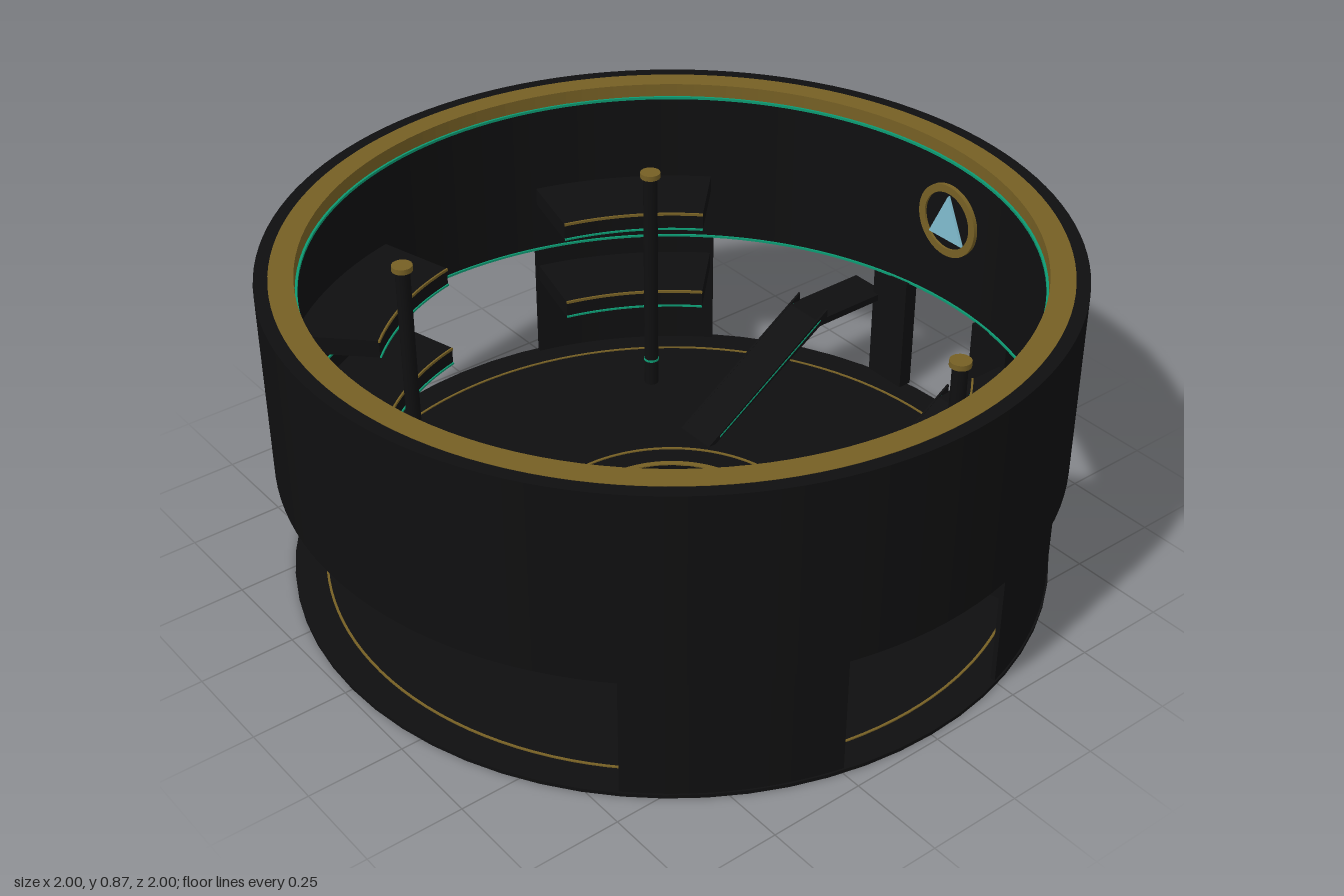
import * as THREE from 'three';

const mat = (name, color, side = THREE.FrontSide) => {
  const m = new THREE.MeshStandardMaterial({ color, side });
  m.name = name;
  return m;
};
const RAD = Math.PI / 180;

export function createModel() {
  const black = mat('black', 0x0f0f10);
  const gold = mat('gold', 0x755f24);
  const green = mat('green', 0x0c9a72);
  const blue = mat('light blue', 0x80bccf);

  const model = new THREE.Group();
  model.name = 'roundHall';

  const add = (name, geo, material, x = 0, y = 0, z = 0, parent = model) => {
    const m = new THREE.Mesh(geo, material);
    m.name = name;
    m.position.set(x, y, z);
    parent.add(m);
    return m;
  };
  const upright = (shape, y0, y1, seg) => new THREE.ExtrudeGeometry(shape,
    { depth: y1 - y0, bevelEnabled: false, curveSegments: seg }).rotateX(-Math.PI / 2).translate(0, y0, 0);

  // Full ring with a rectangular section
  const ring = (r0, r1, y0, y1) => {
    const s = new THREE.Shape().absarc(0, 0, r1, 0, Math.PI * 2);
    s.holes.push(new THREE.Path().absarc(0, 0, r0, 0, Math.PI * 2, true));
    return upright(s, y0, y1, 64);
  };
  // Part of a ring; degrees run from +x towards -z
  const sector = (r0, r1, y0, y1, a0, a1, seg = 10) => {
    const s = new THREE.Shape();
    s.absarc(0, 0, r1, a0 * RAD, a1 * RAD, false);
    s.absarc(0, 0, r0, a1 * RAD, a0 * RAD, true);
    s.closePath();
    return upright(s, y0, y1, seg);
  };
  const box = (w, h, d) => new THREE.BoxGeometry(w, h, d);
  const cyl = (r, h, seg = 16) => new THREE.CylinderGeometry(r, r, h, seg);

  // Floor with inlaid rings
  add('floor', cyl(0.98, 0.01, 64), black, 0, 0.005);
  add('floorOuterInlay', ring(0.895, 0.901, 0.009, 0.013), gold);
  add('floorInnerInlay', ring(0.376, 0.383, 0.009, 0.013), gold);

  // Upper drum with gold rim and light strips
  add('upperWall', ring(0.965, 1, 0.355, 0.865), black);
  add('rim', ring(0.905, 0.966, 0.83, 0.866), gold);
  add('rimLight', ring(0.899, 0.908, 0.823, 0.83), green);
  add('lowerLight', ring(0.96, 0.966, 0.353, 0.359), green);

  // Four wall pieces, each with two balconies, and a post in front
  for (const mid of [30, 150, 210, 330]) {
    const a0 = mid - 15, a1 = mid + 15;
    // openings are wide at front and back, narrow at the sides
    add('wallPiece', sector(0.963, 0.975, 0.01, 0.356, a0 - 0.5, a1 + 0.5), black);
    for (const [name, y] of [['lowerBalcony', 0.25], ['upperBalcony', 0.5]]) {
      add(name, sector(0.745, 0.966, y, y + 0.05, a0, a1), black);
      add(name + 'Trim', sector(0.742, 0.747, y + 0.044, y + 0.051, a0, a1), gold);
      add(name + 'Light', sector(0.741, 0.746, y - 0.001, y + 0.004, a0, a1), green);
    }
  }
  for (const x of [-0.6, 0.6]) for (const z of [-0.4, 0.4]) {
    add('post', cyl(0.02, 0.67), black, x, 0.345, z);
    add('postCap', cyl(0.028, 0.015), gold, x, 0.685, z);
    add('postLight', cyl(0.022, 0.006), green, x, 0.09, z);
  }

  // Back doorway columns and the ramps with their landings
  const side = (points, width, x) => new THREE.ExtrudeGeometry(
    new THREE.Shape(points.map(([u, y]) => new THREE.Vector2(u, y))),
    { depth: width, bevelEnabled: false }).rotateY(Math.PI / 2).translate(x - width / 2, 0, 0);
  const rampSide = [[0.32, 0.01], [0.345, 0.01], [0.72, 0.25], [0.965, 0.25], [0.965, 0.27], [0.71, 0.27]];
  const railSide = [[0.32, 0.01], [0.345, 0.01], [0.745, 0.272], [0.745, 0.295]];
  const stripSide = [[0.36, 0.026], [0.36, 0.031], [0.72, 0.271], [0.72, 0.266]];
  for (const s of [-1, 1]) {
    add('doorColumn', box(0.13, 0.345, 0.04), black, s * 0.195, 0.1825, -0.96);
    add('ramp', side(rampSide, 0.12, s * 0.3), black);
    for (const x of [0.242, 0.358]) {
      add('rampRail', side(railSide, 0.006, s * x), black);
      add('rampLight', side(stripSide, 0.008, s * x), green);
    }
  }

  // Central table
  add('table', cyl(0.19, 0.03, 48), black, 0, 0.025);
  add('tableRim', ring(0.178, 0.19, 0.038, 0.044), gold);
  add('tableTop', cyl(0.179, 0.004, 48), blue, 0, 0.041);

  // Console desk, open to the front, with outward screens
  add('consoleDesk', sector(0.255, 0.305, 0.01, 0.043, -70, 250, 48), black);
  add('consoleTrim', sector(0.255, 0.271, 0.042, 0.046, -70, 250, 48), gold);
  const count = 25;
  for (let i = 0; i < count; i++) {
    const a = (22 + 316 * i / (count - 1)) * RAD;
    const geo = new THREE.PlaneGeometry(0.042, 0.028).rotateX(-0.45);
    const screen = add('consoleScreen', geo, blue, 0.298 * Math.sin(a), 0.057, 0.298 * Math.cos(a));
    screen.rotation.y = a;
  }

  // Emblem on the back wall: ring and triangle
  const emblem = new THREE.Group();
  emblem.name = 'wallEmblem';
  emblem.position.set(0, 0.615, -0.955);
  model.add(emblem);
  add('emblemBacking', cyl(0.1, 0.01, 40).rotateX(Math.PI / 2), black, 0, 0, 0, emblem);
  add('emblemRing', ring(0.083, 0.105, 0, 0.012).rotateX(Math.PI / 2), gold, 0, 0, 0, emblem);
  const tri = new THREE.Shape([[-0.062, -0.055], [0.062, -0.055], [0, 0.075]].map(p => new THREE.Vector2(...p)));
  add('emblemTriangle', new THREE.ExtrudeGeometry(tri, { depth: 0.008, bevelEnabled: false }),
    blue, 0, 0, 0.005, emblem);

  return model;
}
